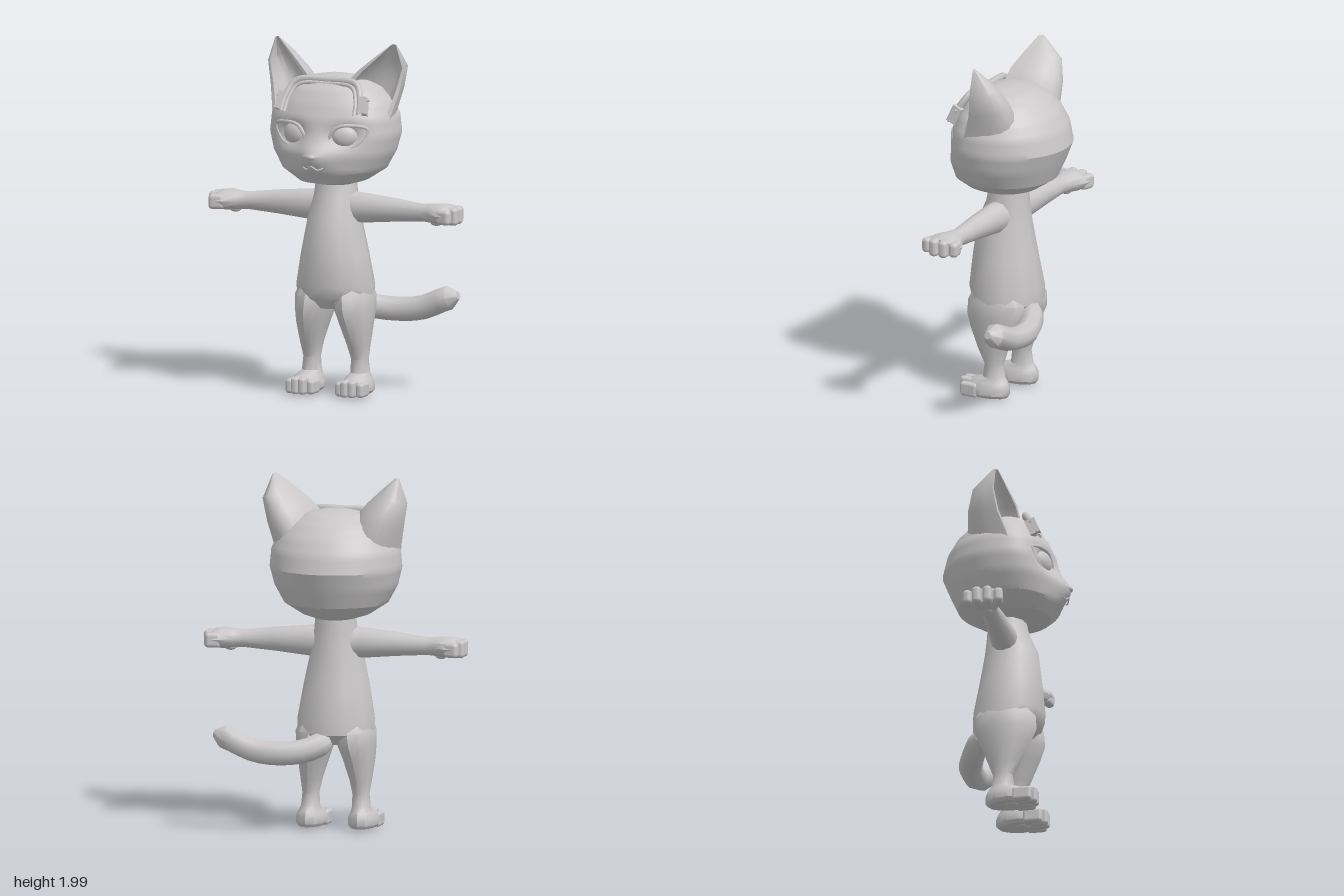
import * as THREE from 'three';
import { toCreasedNormals } from 'three/addons/utils/BufferGeometryUtils.js';
import { RoundedBoxGeometry } from 'three/addons/geometries/RoundedBoxGeometry.js';

const V = (x, y, z) => new THREE.Vector3(x, y, z);

// Skins a list of equal-length closed rings, caps both ends, faces it outwards
function loft(rings, crease = 0.7) {
  const n = rings[0].length, pos = [], idx = [];
  rings.forEach(r => r.forEach(p => pos.push(p.x, p.y, p.z)));
  for (let i = 0; i < rings.length - 1; i++) {
    for (let j = 0; j < n; j++) {
      const a = i * n + j, b = i * n + (j + 1) % n;
      idx.push(a, b, b + n, a, b + n, a + n);
    }
  }
  [0, rings.length - 1].forEach((ri, end) => {
    const c = rings[ri].reduce((s, p) => s.add(p), V(0, 0, 0)).divideScalar(n);
    const ci = pos.length / 3;
    pos.push(c.x, c.y, c.z);
    for (let j = 0; j < n; j++) {
      const a = ri * n + j, b = ri * n + (j + 1) % n;
      end ? idx.push(a, b, ci) : idx.push(b, a, ci);
    }
  });
  const at = i => V(pos[i * 3], pos[i * 3 + 1], pos[i * 3 + 2]);
  let volume = 0;
  for (let i = 0; i < idx.length; i += 3) volume += at(idx[i]).dot(at(idx[i + 1]).cross(at(idx[i + 2])));
  if (volume < 0) idx.reverse();
  const g = new THREE.BufferGeometry();
  g.setAttribute('position', new THREE.Float32BufferAttribute(pos, 3));
  g.setIndex(idx);
  return toCreasedNormals(g, crease);
}

// Level ring: centre x, height, half width, back z, front z
function levelRing(cx, y, hw, zb, zf, n = 12) {
  return Array.from({ length: n }, (_, j) => {
    const a = j / n * Math.PI * 2;
    return V(cx + hw * Math.sin(a), y, (zb + zf) / 2 + (zf - zb) / 2 * Math.cos(a));
  });
}

// Head profile: y, half width, back depth, front depth
const HEAD = [
  [1.19, 0.11, 0.12, 0.12], [1.215, 0.19, 0.18, 0.24], [1.28, 0.29, 0.28, 0.285],
  [1.38, 0.345, 0.325, 0.3], [1.48, 0.37, 0.365, 0.29], [1.58, 0.362, 0.34, 0.27],
  [1.66, 0.325, 0.295, 0.235], [1.73, 0.26, 0.23, 0.19], [1.78, 0.17, 0.155, 0.13], [1.8, 0.07, 0.06, 0.06],
];

function headGeometry() {
  const rings = [], n = 72, sub = 4;
  const bump = (x, y, cx, cy, sx, sy) => Math.exp(-(((x - cx) / sx) ** 2) - ((y - cy) / sy) ** 2);
  for (let k = 0; k <= (HEAD.length - 1) * sub; k++) {
    const i = Math.min(Math.floor(k / sub), HEAD.length - 2), t = k / sub - i;
    const [y, hw, zb, zf] = HEAD[i].map((v, c) => v + (HEAD[i + 1][c] - v) * t);
    rings.push(Array.from({ length: n }, (_, j) => {
      const a = j / n * Math.PI * 2, c = Math.cos(a), x = hw * Math.sin(a);
      let z = c > 0 ? zf * c ** 0.82 : zb * c;
      // muzzle, then eye sockets
      if (c > 0) z += 0.06 * bump(x, y, 0, 1.37, 0.09, 0.08) - 0.05 * bump(Math.abs(x), y, 0.16, 1.49, 0.08, 0.055);
      return V(x, y, z);
    }));
  }
  return loft(rings, 0.5);
}

// Ear shell: rounded back, hollow front. Each level: inner edge, outer edge, back depth, hollow depth
function earGeometry(s) {
  const levels = [
    [V(0.085, 1.68, 0.09), V(0.345, 1.5, 0.09), 0.27, 0.17],
    [V(0.1, 1.76, 0.095), V(0.362, 1.6, 0.06), 0.26, 0.16],
    [V(0.17, 1.84, 0.085), V(0.39, 1.72, 0.015), 0.215, 0.14],
    [V(0.255, 1.915, 0.05), V(0.415, 1.85, -0.005), 0.15, 0.09],
    [V(0.345, 1.99, 0.012), V(0.367, 1.985, 0.003), 0.02, 0.006],
  ];
  return loft(levels.map(([inner, outer, back, hollow]) => {
    const ring = [];
    for (let k = 0; k <= 10; k++) ring.push([k / 10, 1, back]);
    for (let k = 8; k >= 0; k--) ring.push([k / 8, 0.84, hollow]);
    return ring.map(([t, width, d]) => {
      const p = inner.clone().lerp(outer, 0.5 - 0.5 * width * Math.cos(Math.PI * t));
      return V(p.x * s, p.y, p.z - d * Math.sin(Math.PI * t));
    });
  }), 0.7);
}

// Arm and palm along x: x, centre y, half height, half depth
const ARM = [
  [0.06, 1.055, 0.09, 0.08], [0.15, 1.055, 0.087, 0.075], [0.35, 1.055, 0.068, 0.06],
  [0.53, 1.05, 0.05, 0.047], [0.58, 1.05, 0.054, 0.065], [0.65, 1.05, 0.06, 0.108],
  [0.69, 1.05, 0.054, 0.112], [0.715, 1.05, 0.04, 0.09],
];

// Leg and foot: y, centre x, half width, back z, front z
const LEG = [
  [0.012, 0.15, 0.07, -0.085, 0.17], [0.03, 0.15, 0.085, -0.1, 0.185], [0.07, 0.15, 0.084, -0.1, 0.18],
  [0.098, 0.15, 0.068, -0.09, 0.15], [0.125, 0.147, 0.053, -0.068, 0.065], [0.2, 0.145, 0.048, -0.056, 0.055],
  [0.28, 0.142, 0.06, -0.085, 0.1], [0.4, 0.131, 0.086, -0.13, 0.155], [0.48, 0.12, 0.102, -0.172, 0.185],
  [0.56, 0.112, 0.112, -0.175, 0.18], [0.66, 0.1, 0.08, -0.12, 0.13],
];

// Torso: y, half width, back z, front z
const TORSO = [
  [0.49, 0.14, -0.13, 0.13], [0.55, 0.222, -0.2, 0.19], [0.62, 0.224, -0.202, 0.212],
  [0.8, 0.193, -0.168, 0.195], [1.0, 0.15, -0.135, 0.172], [1.12, 0.126, -0.122, 0.12], [1.24, 0.112, -0.112, 0.095],
];

export function createModel() {
  const model = new THREE.Group();
  const grey = new THREE.MeshStandardMaterial({ color: 0xc9c7c8 });
  grey.name = 'warm light grey';
  const add = (name, geo, x = 0, y = 0, z = 0) => {
    const m = new THREE.Mesh(geo, grey);
    m.name = name;
    m.position.set(x, y, z);
    model.add(m);
    return m;
  };
  const blob = (name, x, y, z, rx, ry, rz) => {
    const m = add(name, new THREE.SphereGeometry(1, 16, 10), x, y, z);
    m.scale.set(rx, ry, rz);
    return m;
  };

  add('head', headGeometry());
  add('torso', loft(TORSO.map(([y, hw, zb, zf]) => levelRing(0, y, hw, zb, zf))));

  // Nose and mouth
  blob('nose', 0, 1.378, 0.35, 0.026, 0.016, 0.018);
  const mouth = new THREE.CatmullRomCurve3([
    V(-0.06, 1.315, 0.318), V(-0.03, 1.306, 0.332), V(0, 1.325, 0.343), V(0.03, 1.306, 0.332), V(0.06, 1.315, 0.318)]);
  add('mouth', new THREE.TubeGeometry(mouth, 16, 0.005, 5));

  // Headband: outer strap and inner lining
  const strap = (k, dz) => new THREE.CatmullRomCurve3([
    [-0.245, 1.61, 0.225], [-0.232, 1.7, 0.18], [-0.185, 1.778, 0.135], [0, 1.79, 0.122],
    [0.185, 1.778, 0.135], [0.232, 1.7, 0.18], [0.245, 1.61, 0.225],
  ].map(([x, y, z]) => V(x * k, 1.6 + (y - 1.6) * k, z + dz)));
  add('headband', new THREE.TubeGeometry(strap(0.97, 0), 40, 0.02, 6));
  add('headbandLining', new THREE.TubeGeometry(strap(0.87, 0.012), 40, 0.012, 6));

  for (const s of [1, -1]) {
    const side = s > 0 ? 'left' : 'right';
    add(side + 'Ear', earGeometry(s));

    // Eye with an almond lid lying on the face
    blob(side + 'Eye', s * 0.152, 1.487, 0.226, 0.075, 0.063, 0.04).rotation.y = s * 0.36;
    const lid = [[0.07, 1.455], [0.115, 1.538], [0.195, 1.553], [0.275, 1.53], [0.215, 1.437], [0.13, 1.424]]
      .map(([x, y]) => V(s * x, y, 0.288 * (1 - (x / 0.37) ** 2) ** 0.41 - 0.018));
    add(side + 'EyeLid', new THREE.TubeGeometry(new THREE.CatmullRomCurve3(lid, true), 40, 0.011, 6, true));

    // Headband clasp with two prongs
    const clasp = add(side + 'Clasp', new THREE.BoxGeometry(0.035, 0.1, 0.06), s * 0.25, 1.66, 0.19);
    clasp.rotation.set(-0.4, 0, s * 0.12);
    for (const y of [1.625, 1.69]) {
      const prong = add(side + 'Prong', new THREE.CylinderGeometry(0.007, 0.007, 0.045, 6), s * 0.258, y, 0.255 - (y - 1.56) * 0.6);
      prong.rotation.z = Math.PI / 2;
    }

    // Arm, fingers and palm pad
    add(side + 'Arm', loft(ARM.map(([x, yc, hy, hz]) => Array.from({ length: 12 }, (_, j) => {
      const a = j / 12 * Math.PI * 2;
      return V(s * x, yc + hy * Math.cos(a), hz * Math.sin(a));
    }))));
    for (const z of [-0.084, -0.029, 0.029, 0.084]) {
      const outer = Math.abs(z) > 0.05;
      const finger = add(side + 'Finger', new RoundedBoxGeometry(0.09, outer ? 0.085 : 0.1, 0.052, 2, 0.022), s * (outer ? 0.69 : 0.71), 1.045, z);
      finger.rotation.y = -s * z * 2.5;
    }
    blob(side + 'PalmPad', s * 0.61, 1.003, 0, 0.035, 0.022, 0.035);

    // Leg, foot and toes
    add(side + 'Leg', loft(LEG.map(([y, cx, hw, zb, zf]) => levelRing(s * cx, y, hw, zb, zf))));
    for (const d of [-0.064, -0.022, 0.022, 0.064]) {
      const outer = Math.abs(d) > 0.04;
      add(side + 'Toe', new RoundedBoxGeometry(0.043, outer ? 0.082 : 0.096, 0.11, 2, 0.018), s * 0.15 + d, outer ? 0.047 : 0.054, outer ? 0.12 : 0.145);
    }
    blob(side + 'SolePad', s * 0.15, 0.014, 0.05, 0.04, 0.014, 0.04);
  }

  // Tail: rings along a curve, tapering to a blunt point
  const path = new THREE.CatmullRomCurve3([
    V(0, 0.52, -0.15), V(0.1, 0.47, -0.215), V(0.24, 0.45, -0.262), V(0.4, 0.464, -0.267), V(0.55, 0.525, -0.265), V(0.63, 0.55, -0.26)]);
  const frames = path.computeFrenetFrames(12);
  add('tail', loft(Array.from({ length: 13 }, (_, i) => {
    const p = path.getPointAt(i / 12), r = i === 12 ? 0.022 : i === 0 ? 0.05 : 0.068;
    return Array.from({ length: 8 }, (_, j) => {
      const a = j / 8 * Math.PI * 2;
      return p.clone().addScaledVector(frames.normals[i], r * Math.cos(a)).addScaledVector(frames.binormals[i], r * Math.sin(a));
    });
  }), 0.85));

  return model;
}
